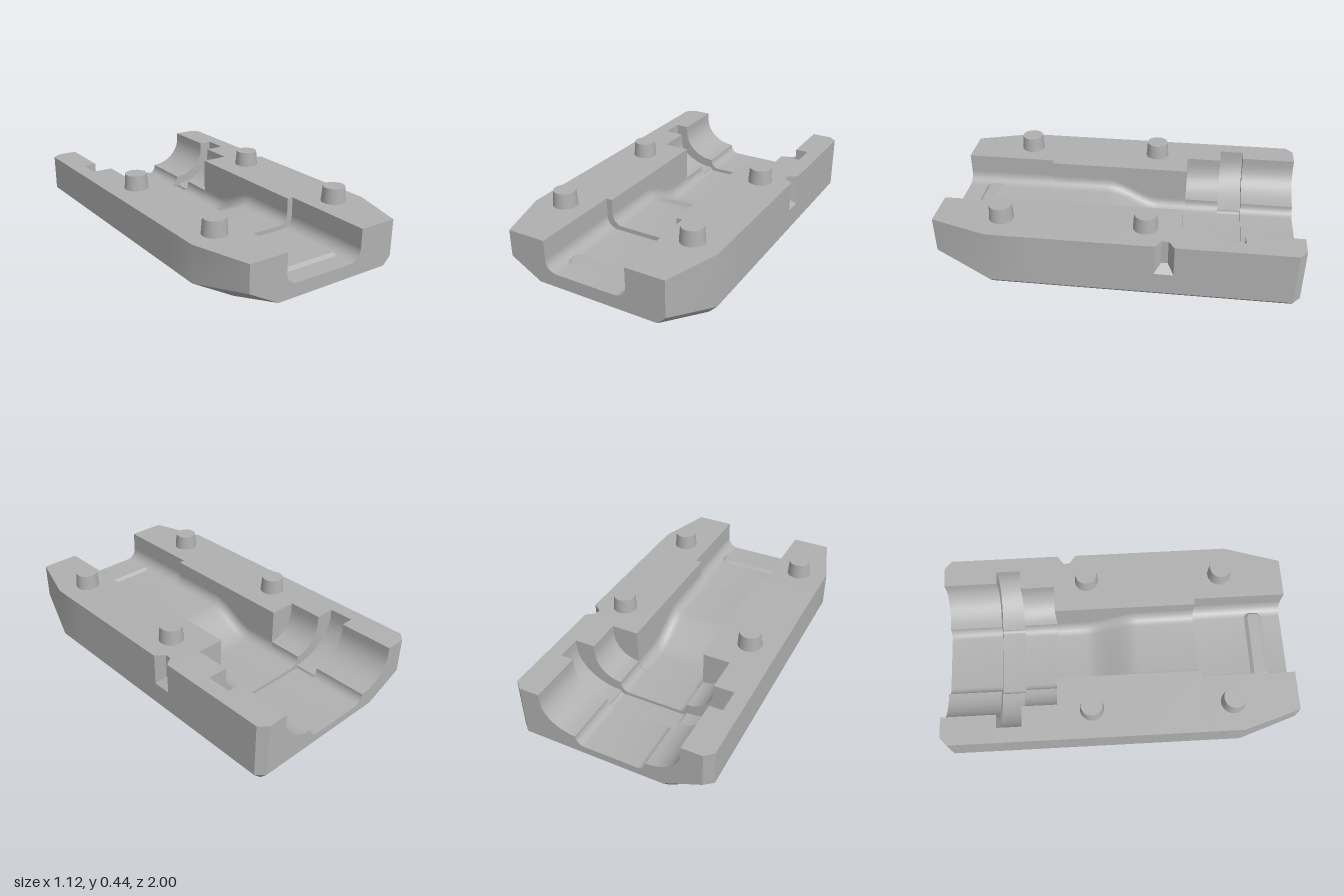
import * as THREE from 'three';
import { toCreasedNormals } from 'three/addons/utils/BufferGeometryUtils.js';

const TOP = 0.35;
const clamp01 = (t) => Math.min(1, Math.max(0, t));

// Outer section at z, counter-clockwise from the top left corner to the top right one
function outerSection(z) {
  const f = clamp01((z - 0.68) / 0.32); // nose taper
  const k = clamp01((-0.96 - z) / 0.04); // rear chamfer
  const n = clamp01((0.0525 - Math.abs(z + 0.2725)) / 0.035); // side notch
  const w = 0.56 - 0.1 * f - 0.045 * k;
  const b = 0.1 * f + 0.045 * k;
  return [
    [-w, TOP], [-w, 0.145 + 0.055 * f + 0.005 * k],
    [-0.31 + 0.025 * f + 0.02 * k, b],
    [w - 0.045 * (1 - k), b], [w, 0.045 + 0.1 * f],
    [w, 0.17], [w - 0.05 * n, 0.17 + 0.04 * n], [w - 0.05 * n, TOP],
  ];
}

// Channel section from right to left: wall, curved shelf, then the rounded floor groove
function channelSection({ wide, narrow, start, end, floor, r }) {
  const half = [[wide, TOP]];
  for (let i = 0; i <= 10; i++) {
    const a = (i / 10) * Math.PI / 2;
    half.push([narrow + (wide - narrow) * Math.cos(a), start - (start - end) * Math.sin(a)]);
  }
  for (let i = 0; i <= 6; i++) {
    const a = (i / 6) * Math.PI / 2;
    half.push([narrow - r + r * Math.cos(a), floor + r - r * Math.sin(a)]);
  }
  return [...half, ...half.slice().reverse().map(([x, y]) => [-x, y])];
}

// Floor height of the long channel: a smooth ramp between two levels
function rampFloor(z) {
  const t = clamp01((z + 0.18) / 0.31);
  return 0.09 + 0.11 * t * t * (3 - 2 * t);
}
const frontBay = () => channelSection({ wide: 0.24, narrow: 0.24, start: TOP, end: 0.24, floor: 0.175, r: 0.065 });
const slot = (z) => channelSection({
  wide: 0.205, narrow: 0.205, start: TOP, end: rampFloor(z) + 0.06, floor: rampFloor(z), r: 0.06,
});
const pocket = () => channelSection({ wide: 0.36, narrow: 0.205, start: 0.31, end: 0.15, floor: 0.09, r: 0.05 });
const collar = () => channelSection({ wide: 0.475, narrow: 0.205, start: 0.31, end: 0.09, floor: 0.07, r: 0.02 });
const rearBay = () => channelSection({ wide: 0.4, narrow: 0.205, start: 0.31, end: 0.145, floor: 0.09, r: 0.05 });

function bodyGeometry() {
  const pos = [];
  const tri = (a, b, c) => {
    const u = new THREE.Vector3().subVectors(b, a);
    const v = new THREE.Vector3().subVectors(c, a);
    if (u.cross(v).length() > 1e-9) for (const p of [a, b, c]) pos.push(p.x, p.y, p.z);
  };
  const quad = (a, b, c, d) => { tri(a, b, c); tri(a, c, d); };
  const at = (pts, z) => pts.map(([x, y]) => new THREE.Vector3(x, y, z));

  const segments = [
    [1, 0.47, frontBay], [0.47, -0.35, slot], [-0.35, -0.55, pocket],
    [-0.55, -0.69, collar], [-0.69, -1, rearBay],
  ];
  const breaks = [0.68, -0.22, -0.255, -0.29, -0.325, -0.96];
  for (let i = 0; i <= 12; i++) breaks.push(0.13 - (0.31 * i) / 12);

  // Loft each stretch from front to back
  let previous = null;
  for (const [z0, z1, channel] of segments) {
    const zs = [z0, ...breaks.filter((z) => z < z0 - 1e-4 && z > z1 + 1e-4), z1].sort((a, b) => b - a);
    const loops = zs.map((z) => at([...outerSection(z), ...channel(z)], z));
    for (let s = 0; s + 1 < loops.length; s++) {
      const A = loops[s], B = loops[s + 1];
      for (let i = 0; i < A.length; i++) {
        const j = (i + 1) % A.length;
        quad(A[i], B[i], B[j], A[j]);
      }
    }
    // Step wall between neighbouring channel sections
    const first = at(channel(z0), z0);
    if (previous) {
      for (let i = 0; i + 1 < first.length; i++) quad(previous[i], first[i], first[i + 1], previous[i + 1]);
    }
    previous = at(channel(z1), z1);
  }

  // End faces
  for (const [z, channel] of [[1, frontBay], [-1, rearBay]]) {
    const loop = [...outerSection(z), ...channel(z)]
      .map(([x, y]) => new THREE.Vector2(x, y))
      .filter((p, i, all) => i === 0 || p.distanceTo(all[i - 1]) > 1e-5);
    const p = at(loop.map((v) => [v.x, v.y]), z);
    for (const [a, b, c] of THREE.ShapeUtils.triangulateShape(loop, [])) {
      if (z > 0) tri(p[a], p[b], p[c]);
      else tri(p[a], p[c], p[b]);
    }
  }
  const g = new THREE.BufferGeometry();
  g.setAttribute('position', new THREE.Float32BufferAttribute(pos, 3));
  return toCreasedNormals(g, 0.4);
}

// Low rib with rounded corners and sloping sides
function ribGeometry() {
  const x = 0.19, y = 0.0325, r = 0.02;
  const s = new THREE.Shape();
  s.moveTo(-x + r, -y).lineTo(x - r, -y).quadraticCurveTo(x, -y, x, -y + r);
  s.lineTo(x, y - r).quadraticCurveTo(x, y, x - r, y);
  s.lineTo(-x + r, y).quadraticCurveTo(-x, y, -x, y - r);
  s.lineTo(-x, -y + r).quadraticCurveTo(-x, -y, -x + r, -y);
  const g = new THREE.ExtrudeGeometry(s, {
    depth: 0.01, bevelEnabled: true, bevelSize: 0.02, bevelThickness: 0.016, bevelSegments: 1, curveSegments: 5,
  });
  return g.rotateX(-Math.PI / 2);
}

export function createModel() {
  const model = new THREE.Group();
  model.name = 'halfShell';
  const grey = new THREE.MeshStandardMaterial({ color: 0xb0b0b0 });
  grey.name = 'grey';
  const add = (name, geometry, x, y, z) => {
    const mesh = new THREE.Mesh(geometry, grey);
    mesh.name = name;
    mesh.position.set(x, y, z);
    model.add(mesh);
  };

  add('body', bodyGeometry(), 0, 0, 0);
  add('gripRib', ribGeometry(), 0, 0.164, 0.8375);

  // Tapered locating pegs
  const peg = new THREE.CylinderGeometry(0.061, 0.068, 0.087, 40);
  for (const x of [-0.395, 0.392]) {
    for (const z of [0.63, -0.158]) add('locatingPeg', peg, x, TOP + 0.0425, z);
  }
  return model;
}
